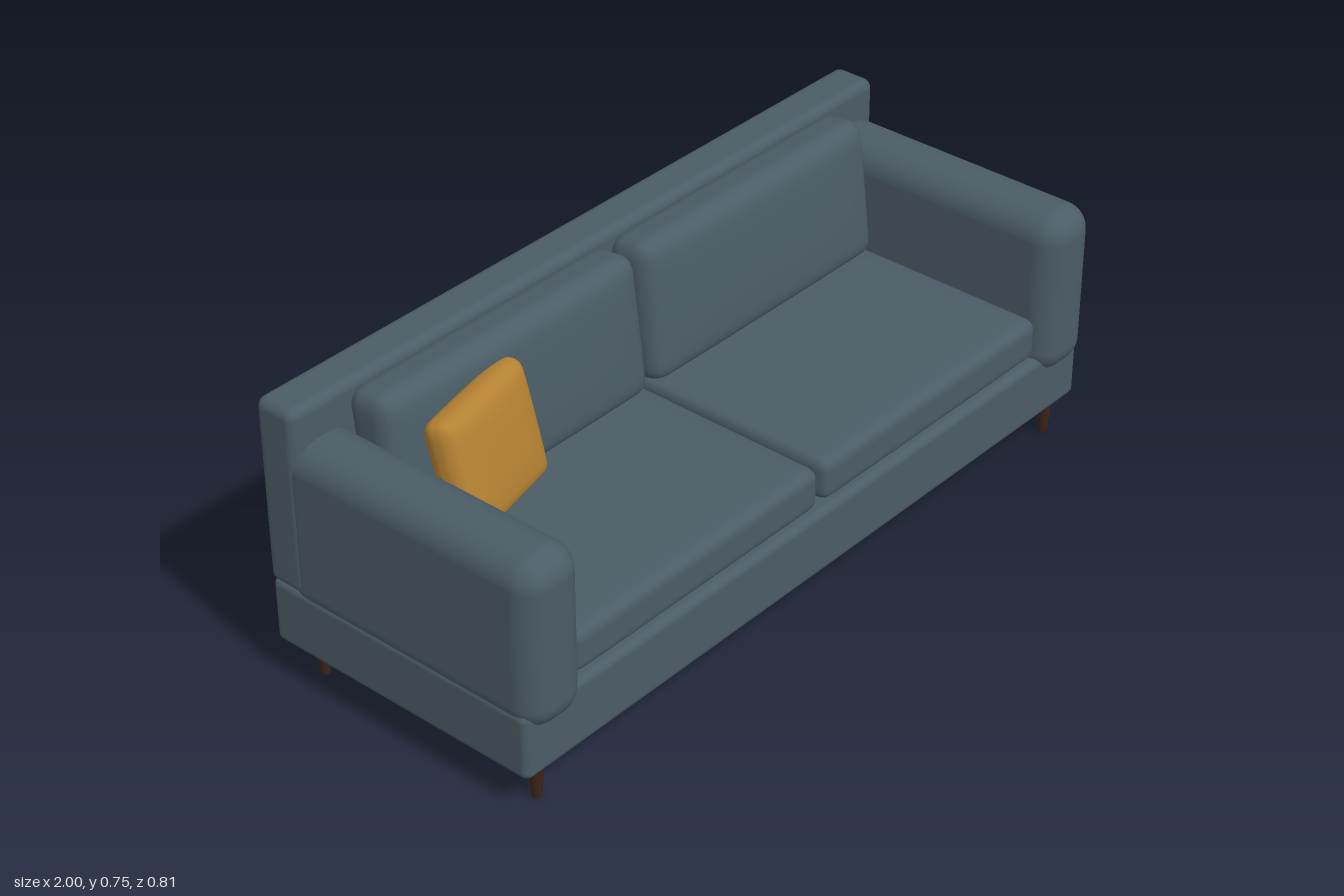
import * as THREE from 'three';
import { RoundedBoxGeometry } from 'three/addons/geometries/RoundedBoxGeometry.js';
import { mergeVertices } from 'three/addons/utils/BufferGeometryUtils.js';

const fabric = new THREE.MeshStandardMaterial({ color: 0x4a5c66 });
const mustard = new THREE.MeshStandardMaterial({ color: 0xb58232 });
const wood = new THREE.MeshStandardMaterial({ color: 0x3a241a });

// Rounded block given by its limits on each axis
function block(name, [x0, x1], [y0, y1], [z0, z1], radius, segments = 4) {
  const mesh = new THREE.Mesh(
    new RoundedBoxGeometry(x1 - x0, y1 - y0, z1 - z0, segments, radius), fabric);
  mesh.position.set((x0 + x1) / 2, (y0 + y1) / 2, (z0 + z1) / 2);
  mesh.name = name;
  return mesh;
}

// Cushion: rounded box whose thin axis swells toward the middle
function cushion(name, size, radius, axis, puff, material) {
  const geo = new THREE.BoxGeometry(2, 2, 2, 22, 22, 22);
  geo.deleteAttribute('uv');
  geo.deleteAttribute('normal');
  const soft = mergeVertices(geo);
  const pos = soft.attributes.position;
  const half = new THREE.Vector3(...size).multiplyScalar(0.5);
  const inner = half.clone().subScalar(radius);
  const p = new THREE.Vector3(), core = new THREE.Vector3();
  for (let i = 0; i < pos.count; i++) {
    p.fromBufferAttribute(pos, i);
    // gather grid lines near the edges, then round them off
    for (const k of ['x', 'y', 'z']) p[k] = Math.sin(p[k] * Math.PI / 2) * half[k];
    core.copy(p).clamp(inner.clone().negate(), inner);
    p.sub(core).setLength(radius).add(core);
    let swell = 1;
    for (const k of ['x', 'y', 'z']) if (k !== axis) swell *= 1 - (p[k] / half[k]) ** 4;
    p[axis] += puff * swell * p[axis] / half[axis];
    pos.setXYZ(i, p.x, p.y, p.z);
  }
  soft.computeVertexNormals();
  const mesh = new THREE.Mesh(soft, material);
  mesh.name = name;
  return mesh;
}

export function createModel() {
  const sofa = new THREE.Group();
  sofa.name = 'sofa';

  // Frame
  sofa.add(block('base', [-0.997, 0.997], [0.095, 0.27], [-0.4, 0.375], 0.02));
  sofa.add(block('backrest', [-1, 1], [0.262, 0.75], [-0.403, -0.287], 0.025));

  for (const s of [-1, 1]) {
    const side = s > 0 ? 'left' : 'right';

    const arm = block(side + 'Arm', [0.824, 0.998], [0.215, 0.656], [-0.36, 0.404], 0.068, 5);
    arm.position.x *= s;
    sofa.add(arm);

    // Seat and back cushions
    const seat = cushion(side + 'SeatCushion', [0.82, 0.112, 0.66], 0.028, 'y', 0.004, fabric);
    seat.position.set(s * 0.418, 0.333, 0.037);
    sofa.add(seat);

    const back = cushion(side + 'BackCushion', [0.825, 0.37, 0.13], 0.045, 'z', 0.012, fabric);
    back.position.set(s * 0.421, 0.553, -0.222);
    back.rotation.x = -0.12;
    sofa.add(back);

    // Tapered legs
    for (const [end, z] of [['Front', 0.334], ['Back', -0.322]]) {
      const leg = new THREE.Mesh(new THREE.CylinderGeometry(0.02, 0.012, 0.11, 16), wood);
      leg.position.set(s * 0.928, 0.055, z);
      leg.name = side + end + 'Leg';
      sofa.add(leg);
    }
  }

  // Loose pillow, turned and leaning back
  const pillow = cushion('throwPillow', [0.34, 0.3, 0.075], 0.032, 'z', 0.015, mustard);
  pillow.rotation.set(-0.24, 0.25, -0.02, 'YXZ');
  pillow.position.set(-0.608, 0.549, -0.095);
  sofa.add(pillow);

  return sofa;
}
